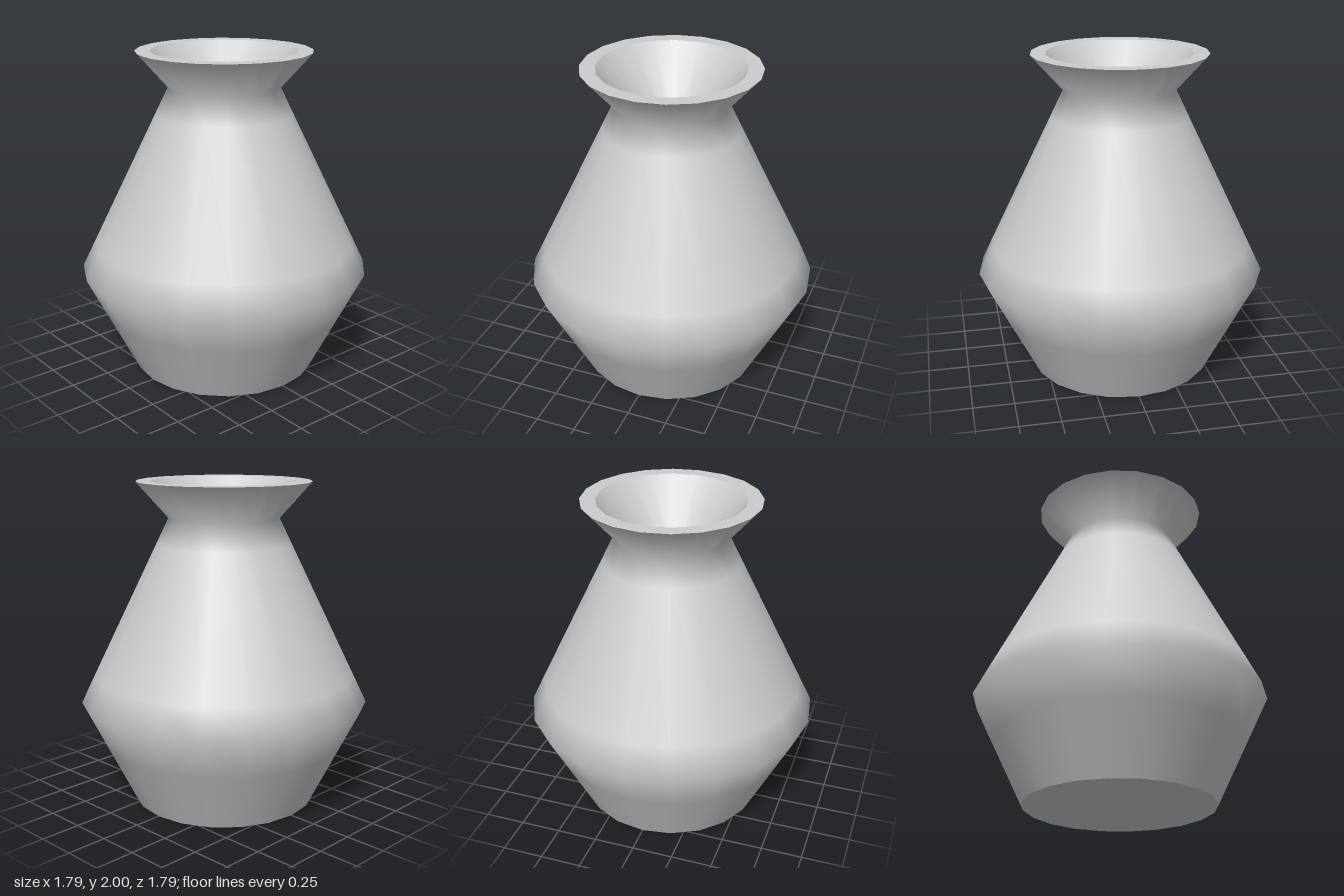
import * as THREE from 'three';

const SIDES = 20;

// Revolve a short [radius, height] profile; each call keeps its own smooth group
function turned(name, profile, material) {
  const points = profile.map(([r, y]) => new THREE.Vector2(r, y));
  const mesh = new THREE.Mesh(new THREE.LatheGeometry(points, SIDES), material);
  mesh.name = name;
  return mesh;
}

export function createModel() {
  const vase = new THREE.Group();
  vase.name = 'vase';
  const clay = new THREE.MeshStandardMaterial({ color: 0xcccccc });

  const foot = [0.575, 0], belly = [0.895, 0.645], neck = [0.34, 1.78], lip = [0.535, 2];
  const innerLip = [0.442, 2], innerNeck = [0.175, 1.7];

  // Point part-way along a straight wall: support rings keep the smooth bends tight
  const along = (a, b, t) => [a[0] + (b[0] - a[0]) * t, a[1] + (b[1] - a[1]) * t];

  vase.add(
    turned('base', [[0, 0], foot], clay),
    turned('body', [
      foot, along(foot, belly, 0.6), belly,
      along(belly, neck, 0.15), along(belly, neck, 0.86), neck, lip,
    ], clay),
    turned('rim', [lip, innerLip], clay),
    turned('mouthFunnel', [innerLip, innerNeck], clay),
    turned('mouthFloor', [innerNeck, [0, innerNeck[1]]], clay),
  );
  return vase;
}
